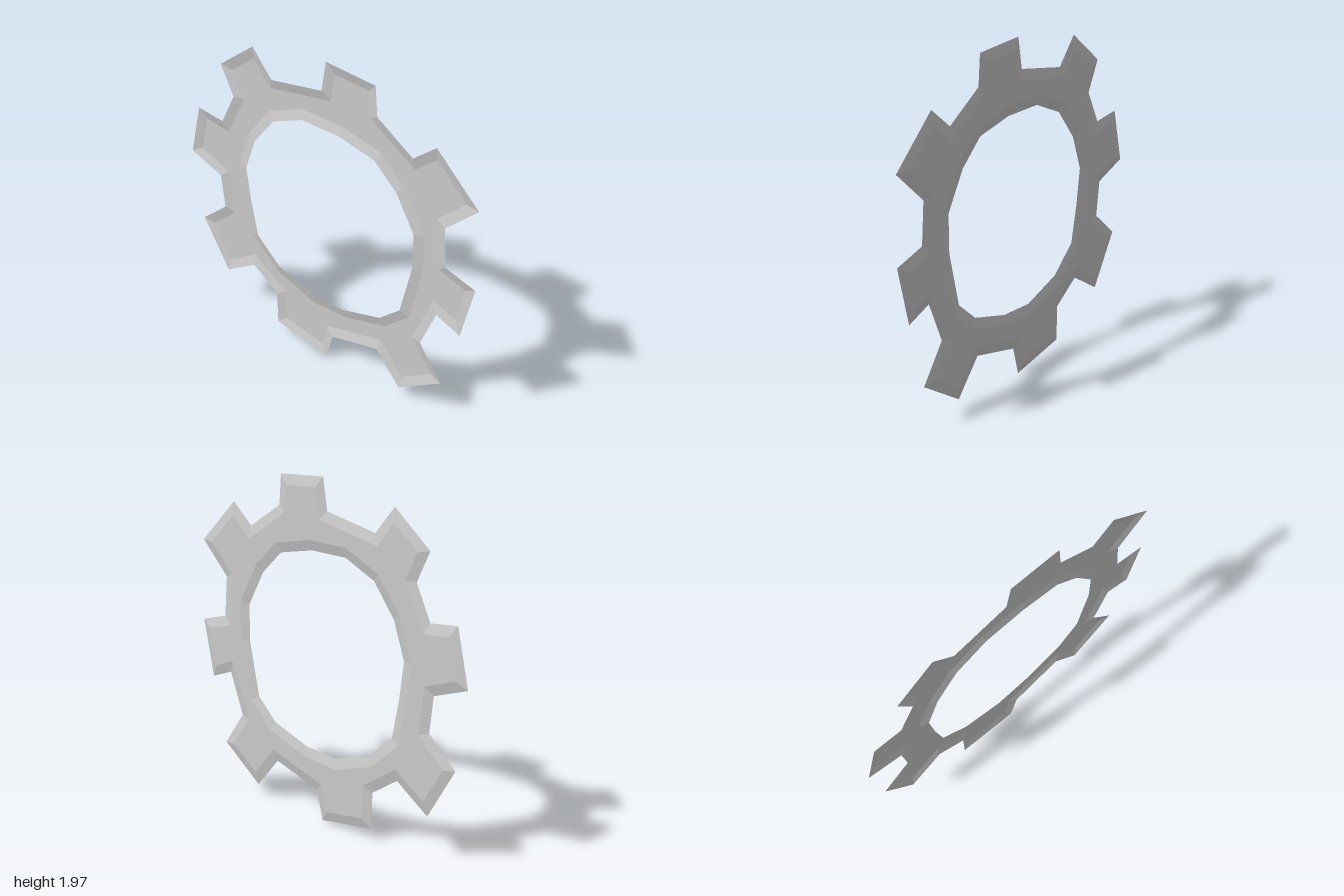
import * as THREE from 'three';

const DEPTH = 0.007; // half of the sheet's relief
const BEVEL = 0.058;

// Eight irregular teeth, clockwise: root, tip, tip, root of each
const teeth = [
  [[-0.02, 1.79], [0.01, 1.97], [0.33, 1.95], [0.345, 1.775]],
  [[0.575, 1.625], [0.715, 1.745], [0.985, 1.485], [0.79, 1.295]],
  [[0.81, 1.055], [1, 1], [0.925, 0.66], [0.77, 0.72]],
  [[0.675, 0.475], [0.825, 0.265], [0.545, 0.07], [0.38, 0.265]],
  [[0.06, 0.18], [0.015, 0.005], [-0.36, 0.07], [-0.365, 0.285]],
  [[-0.54, 0.405], [-0.755, 0.265], [-0.935, 0.57], [-0.755, 0.73]],
  [[-0.78, 0.94], [-1, 1.02], [-0.925, 1.34], [-0.745, 1.32]],
  [[-0.65, 1.515], [-0.735, 1.69], [-0.495, 1.88], [-0.365, 1.725]],
];

// Central opening, clockwise
const opening = [
  [-0.155, 1.56], [0.095, 1.56], [0.335, 1.51], [0.48, 1.375], [0.6, 1.165], [0.6, 0.945],
  [0.53, 0.625], [0.395, 0.5], [0.14, 0.42], [-0.08, 0.405], [-0.335, 0.49], [-0.5, 0.64],
  [-0.545, 0.86], [-0.575, 1.08], [-0.5, 1.29], [-0.36, 1.47],
];

const toVectors = (points) => points.map(([x, y]) => new THREE.Vector2(x, y));

// Mitred offset of a clockwise loop; positive distance moves inwards
function offsetLoop(loop, distance) {
  const n = loop.length;
  const inward = (a, b) => {
    const d = b.clone().sub(a).normalize();
    return new THREE.Vector2(d.y, -d.x);
  };
  return loop.map((p, i) => {
    const n1 = inward(loop[(i + n - 1) % n], p);
    const n2 = inward(p, loop[(i + 1) % n]);
    const miter = n1.clone().add(n2).multiplyScalar(distance / (1 + n1.dot(n2)));
    return p.clone().add(miter);
  });
}

// Sloping strip from a rim loop to a recessed loop
function bevelStrip(rim, recessed, flip) {
  const positions = [];
  rim.forEach((p, i) => {
    const j = (i + 1) % rim.length;
    const a = [p.x, p.y, DEPTH];
    const b = [rim[j].x, rim[j].y, DEPTH];
    const c = [recessed[j].x, recessed[j].y, -DEPTH];
    const d = [recessed[i].x, recessed[i].y, -DEPTH];
    const quad = flip ? [a, b, c, a, c, d] : [a, c, b, a, d, c];
    positions.push(...quad.flat());
  });
  const geometry = new THREE.BufferGeometry();
  geometry.setAttribute('position', new THREE.Float32BufferAttribute(positions, 3));
  geometry.computeVertexNormals();
  return geometry;
}

export function createModel() {
  const group = new THREE.Group();
  group.name = 'gearRing';
  const material = new THREE.MeshStandardMaterial({
    color: 0xcccccc, flatShading: true, side: THREE.DoubleSide,
  });
  const add = (name, geometry) => {
    const mesh = new THREE.Mesh(geometry, material);
    mesh.name = name;
    group.add(mesh);
    return mesh;
  };

  const outerRim = toVectors(teeth.flat());
  const innerRim = toVectors(opening);
  const outerFlat = offsetLoop(outerRim, BEVEL);
  const innerFlat = offsetLoop(innerRim, -BEVEL);

  // Flat face of the ring and teeth
  const face = new THREE.Shape(outerFlat);
  face.holes.push(new THREE.Path(innerFlat));
  add('gearFace', new THREE.ShapeGeometry(face)).position.z = -DEPTH;

  // Bevels around the teeth and around the opening
  add('toothBevel', bevelStrip(outerRim, outerFlat, false));
  add('openingBevel', bevelStrip(innerRim, innerFlat, true));

  return group;
}
